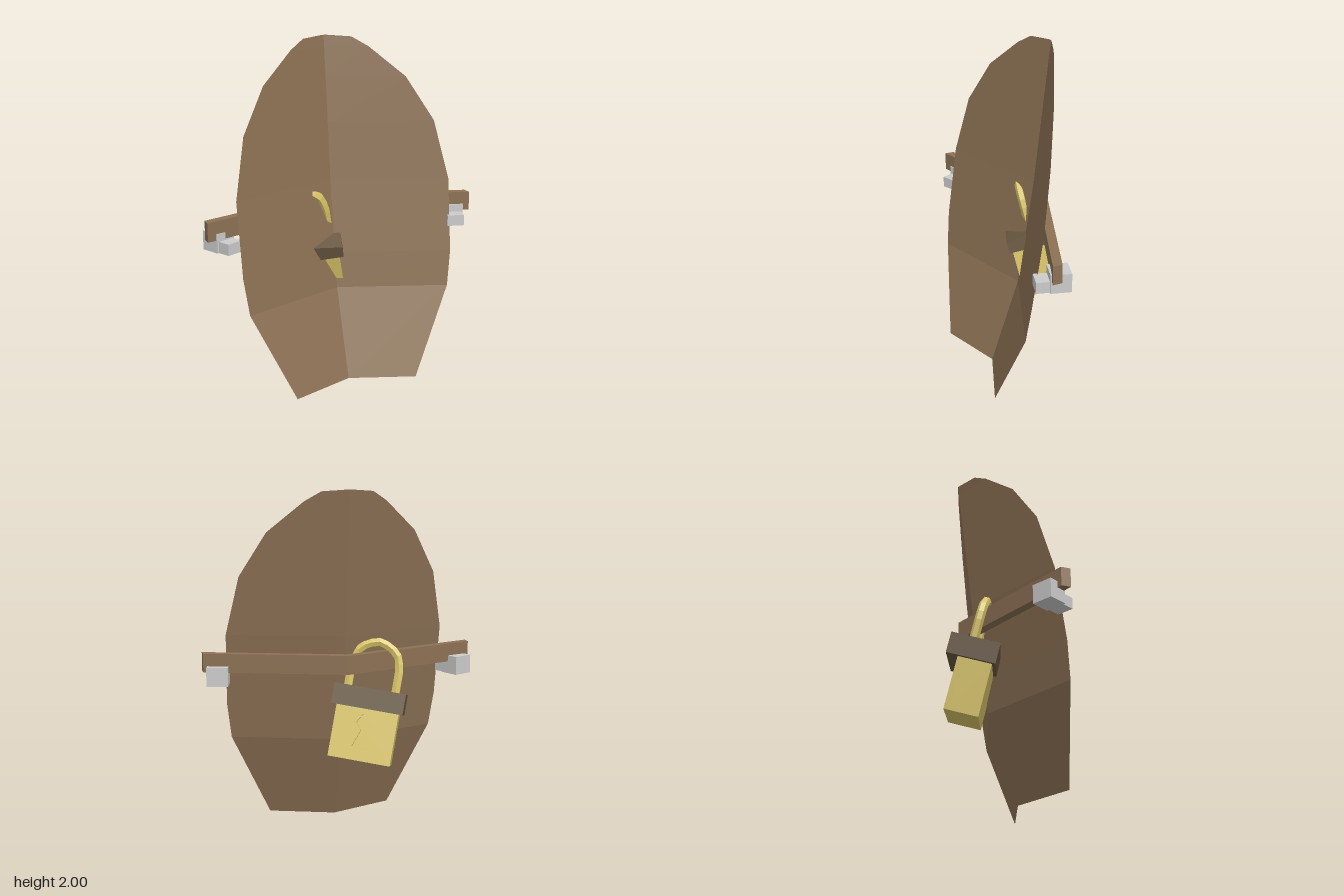
import * as THREE from 'three';

const mat = (color, extra = {}) => new THREE.MeshStandardMaterial({ color, flatShading: true, ...extra });
const wood = mat(0x8c7154);
const darkWood = mat(0x685740);
const gold = mat(0xd8c468);
const steel = mat(0xcccccc);

function add(parent, name, geometry, material) {
  const mesh = new THREE.Mesh(geometry, material);
  mesh.name = name;
  parent.add(mesh);
  return mesh;
}

// box given by its min and max corners
function box(x0, x1, y0, y1, z0, z1) {
  return new THREE.BoxGeometry(x1 - x0, y1 - y0, z1 - z0)
    .translate((x0 + x1) / 2, (y0 + y1) / 2, (z0 + z1) / 2);
}

const polygon = (Type, pts) => new Type(pts.map(([x, y]) => new THREE.Vector2(x, y)));

// folded sheet: each row is [height, half width, depth of the fold]
function shieldGeometry() {
  const rows = [
    [2, 0.02, -0.19], [1.99, 0.15, -0.189], [1.935, 0.24, -0.182], [1.76, 0.44, -0.161],
    [1.505, 0.588, -0.131], [1.16, 0.66, -0.09], [0.73, 0.652, -0.023],
    [0.52, 0.625, 0.01], [0, 0.38, 0.185],
  ];
  const g = new THREE.PlaneGeometry(2, 1, 2, rows.length - 1);
  const p = g.attributes.position;
  for (let i = 0; i < p.count; i++) {
    const [y, half, fold] = rows[Math.floor(i / 3)];
    const side = (i % 3) - 1;
    p.setXYZ(i, 0.015 + side * half, y, fold + Math.abs(side) * half * 0.36);
  }
  g.computeVertexNormals();
  return g;
}

// chevron bar following the fold behind the shield
function barGeometry() {
  const plan = polygon(THREE.Shape, [
    [0.015, 0.12], [-0.815, -0.16], [-0.815, -0.105],
    [0.015, 0.175], [0.815, -0.105], [0.815, -0.16],
  ]);
  return new THREE.ExtrudeGeometry(plan, { depth: 0.11, bevelEnabled: false })
    .rotateX(-Math.PI / 2).translate(0, 0.953, 0);
}

// L-shaped holder: upright behind the bar, foot running forward below it
function bracket(name, x, z, turn) {
  const g = new THREE.Group();
  g.name = name;
  add(g, 'bracketUpright', box(-0.062, 0.062, 0.88, 0.99, -0.09, 0.025), steel);
  add(g, 'bracketFoot', box(-0.05, 0.05, 0.88, 0.945, 0, 0.1), steel);
  g.position.set(x, 0, z);
  g.rotation.y = turn;
  return g;
}

function padlock() {
  const lock = new THREE.Group();
  lock.name = 'padlock';
  const w = 0.364, h = 0.33, d = 0.194;

  // body with a keyhole cut into its back plate
  add(lock, 'lockBody', box(-w, 0, 0, h, -d + 0.03, 0), gold);
  const plate = polygon(THREE.Shape, [[-w, 0], [0, 0], [0, h], [-w, h]]);
  const cx = -w / 2;
  plate.holes.push(polygon(THREE.Path, [
    [cx - 0.055, 0.075], [cx - 0.018, 0.175], [cx - 0.05, 0.22], [cx - 0.02, 0.27],
    [cx + 0.02, 0.27], [cx + 0.05, 0.22], [cx + 0.018, 0.175], [cx + 0.055, 0.075],
  ]));
  add(lock, 'keyholePlate',
    new THREE.ExtrudeGeometry(plate, { depth: 0.03, bevelEnabled: false }).translate(0, 0, -d), gold);

  // cap with one dipped front corner
  const cap = box(-w - 0.025, 0.025, 0.303, 0.423, -d - 0.065, 0.02);
  const p = cap.attributes.position;
  for (let i = 0; i < p.count; i++) {
    if (p.getX(i) > 0 && p.getY(i) > 0.4 && p.getZ(i) > 0) p.setY(i, 0.37);
  }
  cap.computeVertexNormals();
  add(lock, 'lockCap', cap, darkWood);

  // shackle: two legs joined by a half circle
  const path = new THREE.CurvePath();
  const z = -0.135, r = 0.14, top = 0.56;
  const pts = [new THREE.Vector3(cx - r, 0.4, z)];
  for (let i = 0; i <= 6; i++) {
    const a = Math.PI * (1 - i / 6);
    pts.push(new THREE.Vector3(cx + r * Math.cos(a), top + r * Math.sin(a), z));
  }
  pts.push(new THREE.Vector3(cx + r, 0.4, z));
  for (let i = 1; i < pts.length; i++) path.add(new THREE.LineCurve3(pts[i - 1], pts[i]));
  add(lock, 'shackle', new THREE.TubeGeometry(path, 16, 0.027, 6), gold);

  // hangs turned, rolled and pitched
  const basis = new THREE.Matrix4().makeBasis(
    new THREE.Vector3(0.915, 0.146, 0.379).normalize(),
    new THREE.Vector3(-0.226, 0.957, 0.177).normalize(),
    new THREE.Vector3(-0.336, -0.247, 0.907).normalize());
  lock.quaternion.setFromRotationMatrix(basis);
  lock.position.set(0.083, 0.44, -0.01);
  return lock;
}

export function createModel() {
  const model = new THREE.Group();
  model.name = 'lockedShield';
  add(model, 'shield', shieldGeometry(), mat(0x8c7154, { side: THREE.DoubleSide }));
  add(model, 'crossBar', barGeometry(), wood);
  model.add(bracket('leftBracket', 0.724, 0.115, -0.25));
  model.add(bracket('rightBracket', -0.715, 0.1, 0.45));
  model.add(padlock());
  return model;
}
